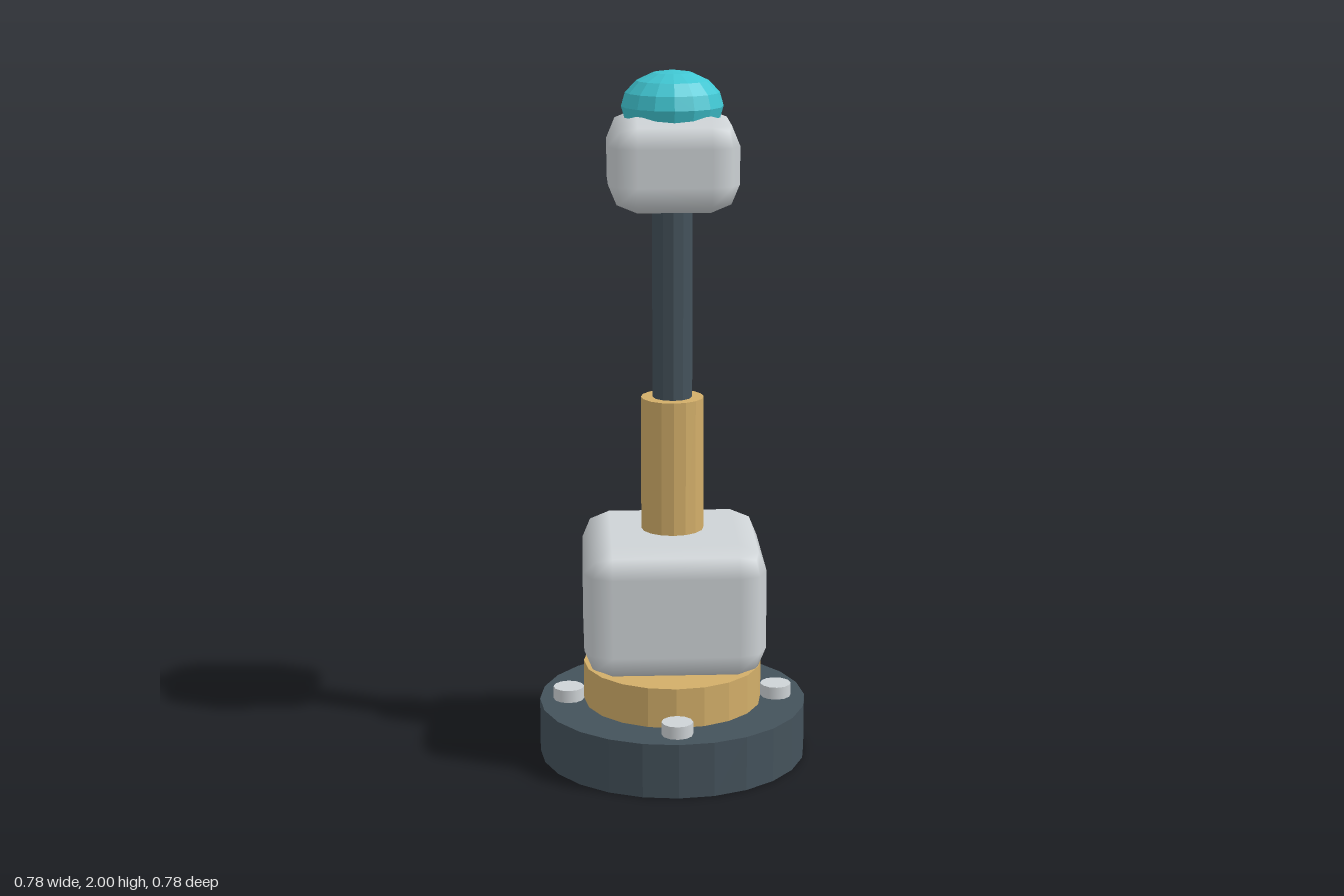
import * as THREE from 'three';
import { RoundedBoxGeometry } from 'three/addons/geometries/RoundedBoxGeometry.js';

function material(name, color, flatShading = true) {
  const m = new THREE.MeshStandardMaterial({ color, flatShading });
  m.name = name;
  return m;
}

export function createModel() {
  const model = new THREE.Group();
  model.name = 'beaconPost';

  const slate = material('darkSlate', 0x44525b);
  const brass = material('brass', 0xd2ae69);
  const grey = material('lightGrey', 0xced3d6, false);
  const teal = material('teal', 0x40c6d2);

  function add(name, geometry, mat, x, y, z) {
    const mesh = new THREE.Mesh(geometry, mat);
    mesh.name = name;
    mesh.position.set(x, y, z);
    model.add(mesh);
    return mesh;
  }

  // Upright cylinder between two heights
  function post(name, radius, y0, y1, sides, mat, x = 0, z = 0) {
    return add(name, new THREE.CylinderGeometry(radius, radius, y1 - y0, sides), mat, x, (y0 + y1) / 2, z);
  }

  // Softly bevelled square block between two heights
  function block(name, width, y0, y1) {
    return add(name, new RoundedBoxGeometry(width, y1 - y0, width, 1, 0.08), grey, 0, (y0 + y1) / 2, 0);
  }

  // Base and collar
  post('base', 0.39, 0, 0.16, 24, slate);
  post('collar', 0.26, 0.16, 0.277, 20, brass);

  // Four bolts around the base
  for (let i = 0; i < 4; i++) {
    const a = (i * Math.PI) / 2;
    post('bolt', 0.045, 0.15, 0.197, 12, grey, 0.305 * Math.sin(a), 0.305 * Math.cos(a));
  }

  // Body, sleeve and rod
  block('body', 0.52, 0.29, 0.68);
  post('sleeve', 0.09, 0.66, 1.07, 16, brass);
  post('rod', 0.057, 1.05, 1.64, 12, slate);

  // Head with a flattened dome
  block('head', 0.365, 1.615, 1.88);
  const dome = add('dome', new THREE.SphereGeometry(0.143, 16, 8), teal, 0, 1.9, 0);
  dome.scale.y = 0.7;

  return model;
}
